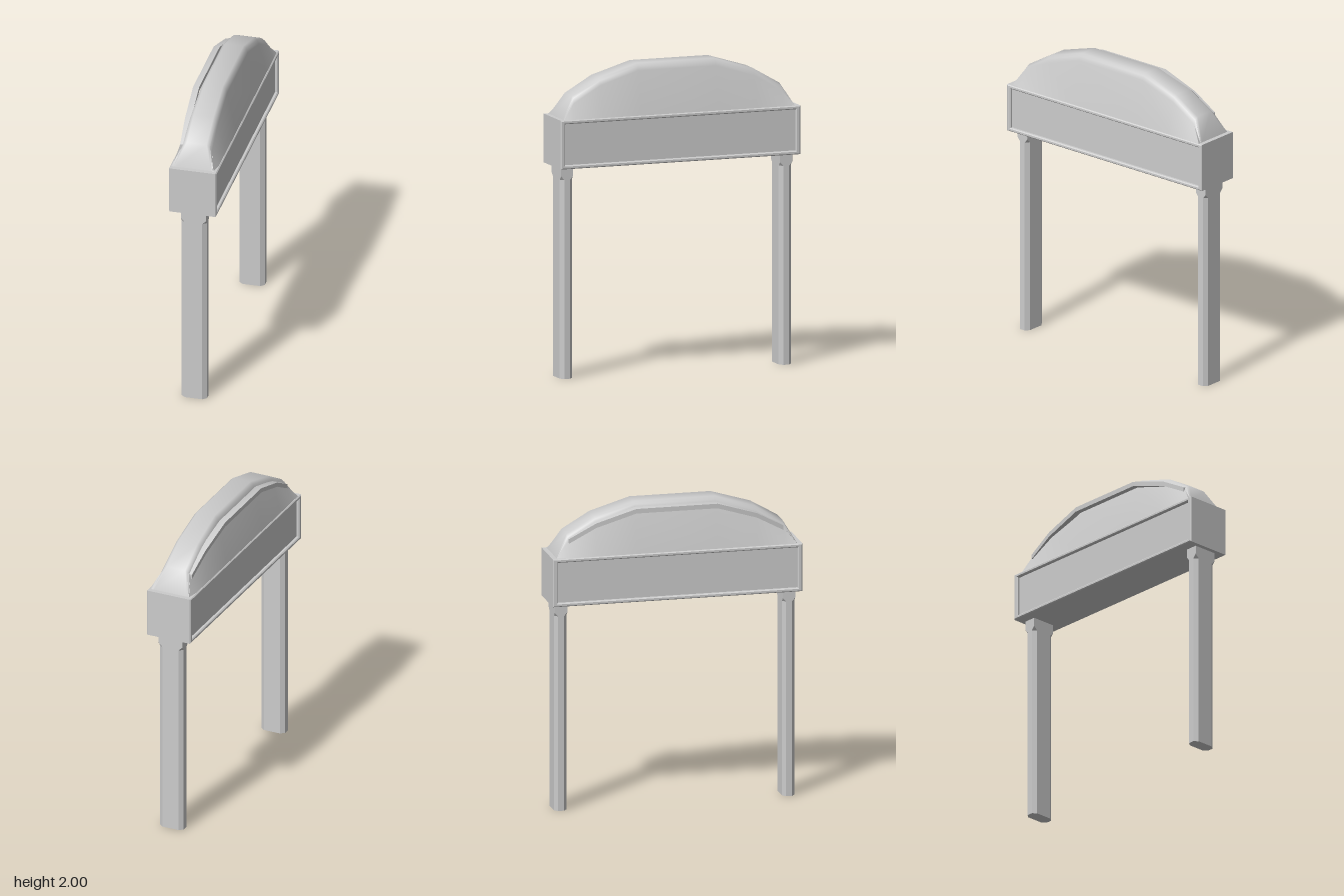
import * as THREE from 'three';
import { toCreasedNormals } from 'three/addons/utils/BufferGeometryUtils.js';

const grey = new THREE.MeshStandardMaterial({ color: 0xcccccc });

// Skin a list of equal-length rings and cap both ends (rings counter-clockwise seen from the far end)
function loft(rings, crease) {
  const n = rings[0].length, index = [], last = (rings.length - 1) * n;
  for (let r = 0; r < rings.length - 1; r++) {
    for (let i = 0; i < n; i++) {
      const a = r * n + i, b = r * n + (i + 1) % n;
      index.push(a, b, b + n, a, b + n, a + n);
    }
  }
  for (let i = 1; i < n - 1; i++) {
    index.push(0, i + 1, i, last, last + i, last + i + 1);
  }
  const g = new THREE.BufferGeometry();
  g.setAttribute('position', new THREE.Float32BufferAttribute(rings.flat(2), 3));
  g.setIndex(index);
  return toCreasedNormals(g, crease);
}

function rect(Type, w, h) {
  const s = new Type();
  s.moveTo(-w, -h);
  s.lineTo(w, -h);
  s.lineTo(w, h);
  s.lineTo(-w, h);
  s.closePath();
  return s;
}

export function createModel() {
  const model = new THREE.Group();
  const add = (name, geometry, x = 0, y = 0, z = 0) => {
    const m = new THREE.Mesh(geometry, grey);
    m.name = name;
    m.position.set(x, y, z);
    model.add(m);
    return m;
  };

  // Posts: corners chamfered up to a square head
  const legRing = (y, c) => {
    const X = 0.083, Z = 0.041, cx = 0.026 * c, cz = 0.021 * c;
    return [[X, Z - cz], [X, -Z + cz], [X - cx, -Z], [-X + cx, -Z],
      [-X, -Z + cz], [-X, Z - cz], [-X + cx, Z], [X - cx, Z]].map(([x, z]) => [x, y, z]);
  };
  const legGeo = loft([legRing(0, 1), legRing(1.28, 1), legRing(1.305, 0.01), legRing(1.37, 0.01)], 0.2);
  add('frontLeg', legGeo, 0, 0, 0.745);
  add('backLeg', legGeo, 0, 0, -0.745);

  // Beam: bevelled frame around panels set back on both long sides
  const bevel = 0.006;
  const outline = rect(THREE.Shape, 0.815 - bevel, 0.157 - bevel);
  outline.holes.push(rect(THREE.Path, 0.785 + bevel, 0.133 + bevel));
  const frameGeo = new THREE.ExtrudeGeometry(outline, {
    depth: 0.31 - 2 * bevel, bevelEnabled: true, bevelSize: bevel,
    bevelThickness: bevel, bevelSegments: 1,
  });
  frameGeo.translate(0, 0, -0.155 + bevel);
  frameGeo.rotateY(Math.PI / 2);
  add('beamFrame', frameGeo, 0, 1.518, 0);
  add('beamPanels', new THREE.BoxGeometry(0.27, 0.28, 1.59), 0, 1.518, 0);

  // Arched hood: cross-sections [z, top height, shoulder half width, top half width]
  const half = [
    [0.785, 1.676, 0.13, 0.115], [0.705, 1.815, 0.1, 0.065],
    [0.525, 1.92, 0.094, 0.065], [0.265, 2.0, 0.088, 0.06],
  ];
  const sections = [...half.map(([z, ...r]) => [-z, ...r]), ...half.reverse()];
  const base = 1.672;
  const hoodRings = sections.map(([z, top, s, t]) => {
    const drop = Math.min(0.045, (top - base) * 0.3);
    const side = [[0.147, base], [s, top - drop], [(s + t) / 2 + 0.004, top - drop * 0.35], [t, top]];
    return [...side, ...side.slice().reverse().map(([x, y]) => [-x, y])].map(([x, y]) => [x, y, z]);
  });
  add('hood', loft(hoodRings, 0.9));

  // Trim bar following the arch on one side: [z, centre x, top height]
  const path = [[0.7, -0.09, 1.795], [0.525, -0.102, 1.89], [0.265, -0.115, 1.972]];
  const barPath = [...path.map(([z, x, y]) => [-z, x, y]), ...path.reverse()];
  const barRings = barPath.map(([z, x, y]) => [
    [x + 0.02, y - 0.03, z], [x + 0.02, y, z], [x - 0.02, y - 0.004, z], [x - 0.02, y - 0.034, z],
  ]);
  add('trimBar', loft(barRings, 0.5));

  return model;
}
